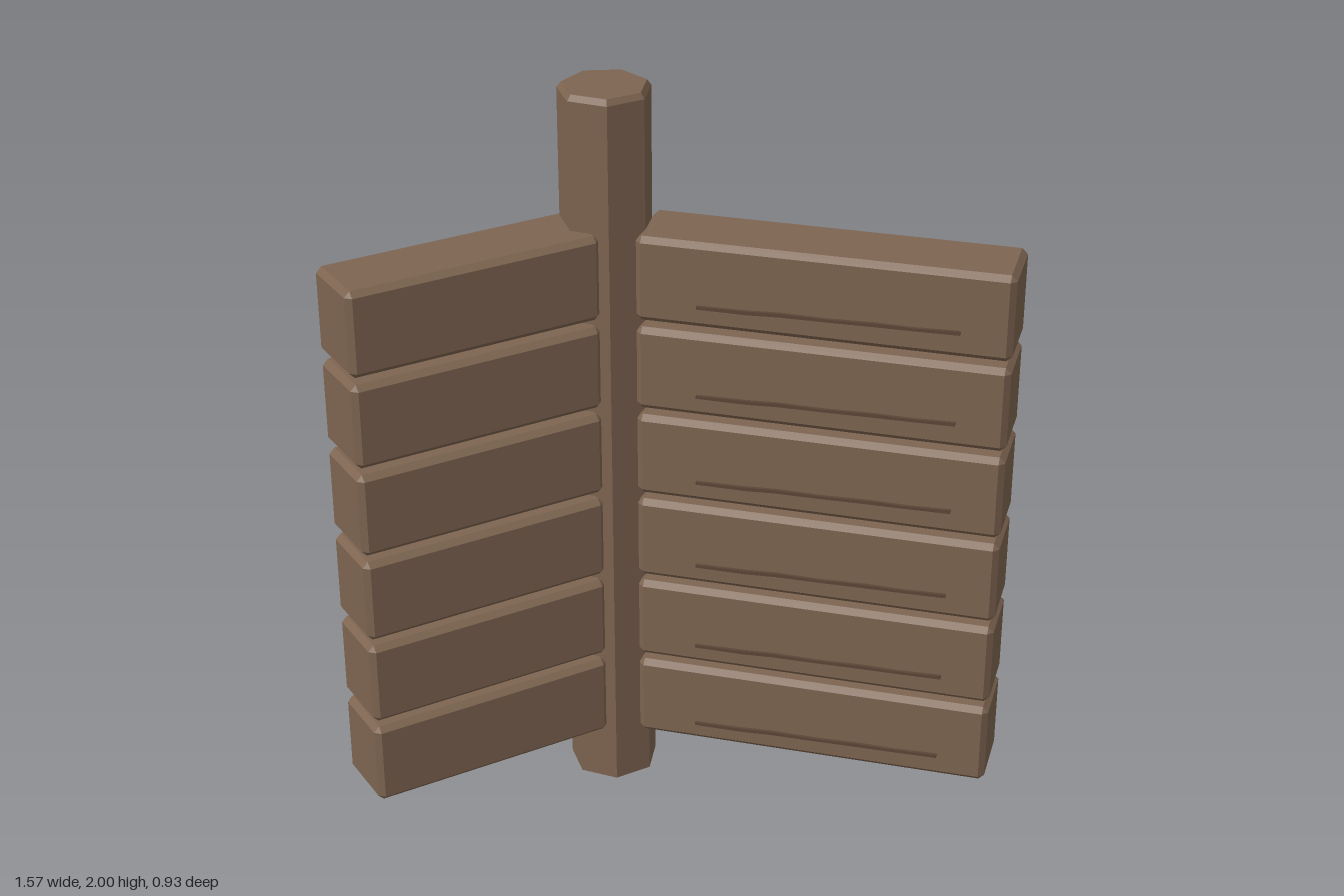
import * as THREE from 'three';
import { ConvexGeometry } from 'three/addons/geometries/ConvexGeometry.js';

// Box with every edge cut by a flat chamfer
function chamferBox(w, h, d, c) {
  const points = [];
  for (const sx of [-1, 1]) for (const sy of [-1, 1]) for (const sz of [-1, 1]) {
    const x = w / 2, y = h / 2, z = d / 2;
    points.push(
      new THREE.Vector3(sx * x, sy * (y - c), sz * (z - c)),
      new THREE.Vector3(sx * (x - c), sy * y, sz * (z - c)),
      new THREE.Vector3(sx * (x - c), sy * (y - c), sz * z));
  }
  return new ConvexGeometry(points);
}

// Thin, slightly jagged strip running along x: [x, y, half height]
function crackGeometry() {
  const path = [
    [-0.333, -0.005, 0.004], [-0.2, -0.004, 0.005], [-0.12, 0, 0.005], [0, 0, 0.004],
    [0.12, 0.003, 0.005], [0.22, 0.003, 0.004], [0.333, 0.006, 0.005],
  ];
  const outline = [
    ...path.map(([x, y, half]) => new THREE.Vector2(x, y - half)),
    ...path.map(([x, y, half]) => new THREE.Vector2(x, y + half)).reverse(),
  ];
  const geometry = new THREE.ExtrudeGeometry(new THREE.Shape(outline), { depth: 0.008, bevelEnabled: false });
  return geometry.translate(0, 0, -0.004);
}

export function createModel() {
  const wood = new THREE.MeshStandardMaterial({ color: 0x7d6450, flatShading: true });
  wood.name = 'wood';
  const darkGrain = new THREE.MeshStandardMaterial({ color: 0x5b4636, flatShading: true });
  darkGrain.name = 'dark grain';

  const model = new THREE.Group();
  model.name = 'cornerFence';
  const add = (parent, name, geometry, material, x, y, z) => {
    const mesh = new THREE.Mesh(geometry, material);
    mesh.name = name;
    mesh.position.set(x, y, z);
    parent.add(mesh);
  };

  // Seven-sided post with a chamfered top, one corner pointing back
  const profile = [[0, 0], [0.121, 0], [0.121, 1.985], [0.11, 2], [0, 2]].map(([r, y]) => new THREE.Vector2(r, y));
  add(model, 'post', new THREE.LatheGeometry(profile, 7, Math.PI), wood, -0.027, 0, -0.346);

  // Two stacks of rails, one straight and one turned forward
  const straightRail = chamferBox(0.69, 0.231, 0.199, 0.015);
  const turnedRail = chamferBox(0.96, 0.231, 0.199, 0.015);
  const crack = crackGeometry();
  const turnedPanel = new THREE.Group();
  turnedPanel.name = 'turnedPanel';
  turnedPanel.position.set(0.384, 0, 0.065);
  turnedPanel.rotation.y = -Math.PI / 4;
  model.add(turnedPanel);

  for (let i = 0; i < 6; i++) {
    const y = 0.277 + i * 0.25;
    add(model, 'straightRail', straightRail, wood, -0.44, y, -0.347);
    add(turnedPanel, 'turnedRail', turnedRail, wood, 0, y, 0);
    // Grain cracks stand just off both faces
    for (const side of [1, -1]) {
      add(turnedPanel, 'grainCrack', crack, darkGrain, 0.02, y - 0.042, side * 0.122);
    }
  }
  return model;
}
